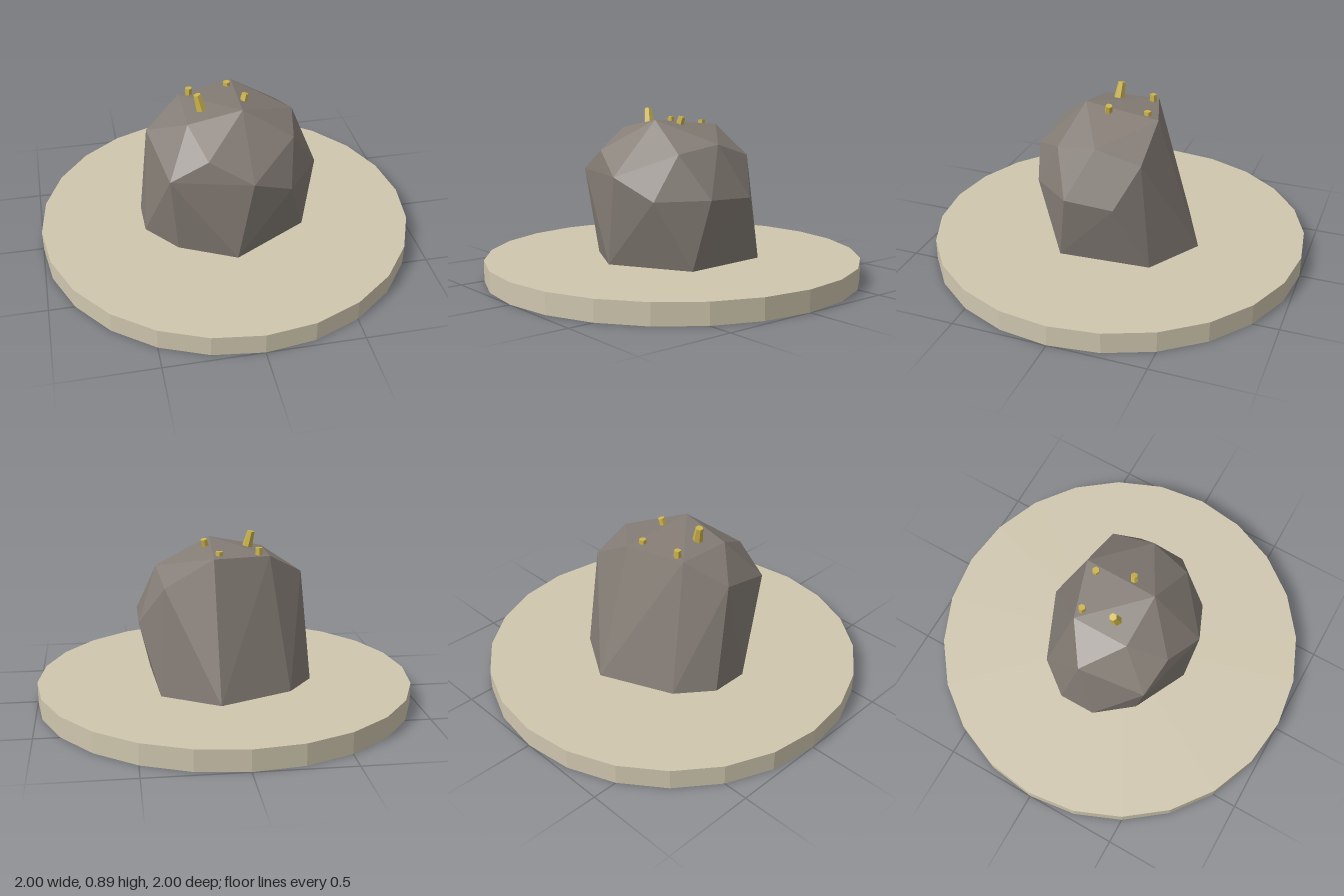
import * as THREE from 'three';
import { ConvexGeometry } from 'three/addons/geometries/ConvexGeometry.js';

const flat = (name, color) => {
  const m = new THREE.MeshStandardMaterial({ color });
  m.name = name;
  m.flatShading = true;
  return m;
};

export function createModel() {
  const sand = flat('sand', 0xcfc6ae);
  const stone = flat('stone', 0x847c75);
  const gold = flat('gold', 0xccb44c);
  const group = new THREE.Group();
  group.name = 'rockOnBase';

  const add = (name, geometry, material) => {
    const mesh = new THREE.Mesh(geometry, material);
    mesh.name = name;
    group.add(mesh);
    return mesh;
  };

  // round base
  const baseTop = 0.11;
  add('base', new THREE.CylinderGeometry(1, 1, baseTop, 24), sand).position.y = baseTop / 2;

  // faceted boulder: foot ring, shoulder ring and crown wrapped in a hull
  const foot = [
    [0.07, -0.465], [0.36, -0.29], [0.39, 0.19], [-0.01, 0.415],
    [-0.3, 0.27], [-0.45, 0.08], [-0.45, -0.12], [-0.31, -0.3],
  ].map(([x, z]) => [x, baseTop, z]);
  const shoulder = [
    [0.46, 0.47, 0.13], [0.46, 0.46, -0.13], [0.28, 0.46, 0.35],
    [0.065, 0.57, 0.435], [-0.34, 0.57, 0.33],
  ];
  const crown = [
    [-0.15, 0.685, 0.36], [-0.41, 0.68, -0.01], [0.315, 0.69, 0.22],
    [0.36, 0.73, 0], [0.33, 0.66, -0.23], [-0.22, 0.79, 0.16],
    [-0.22, 0.795, -0.14], [0.08, 0.805, -0.235], [0.06, 0.845, 0.165],
  ];
  const points = [...foot, ...shoulder, ...crown].map((p) => new THREE.Vector3(...p));
  add('boulder', new ConvexGeometry(points), stone);

  // small tapered spikes, each from a buried foot to its tip
  const spikes = [
    [[-0.127, 0.79, 0.056], [-0.15, 0.89, 0.045], 0.03, 0.02],
    [[0.088, 0.79, 0.033], [0.105, 0.857, 0.022], 0.023, 0.018],
    [[-0.165, 0.77, -0.125], [-0.165, 0.837, -0.125], 0.022, 0.018],
    [[0.045, 0.77, -0.165], [0.045, 0.83, -0.165], 0.023, 0.019],
  ];
  const up = new THREE.Vector3(0, 1, 0);
  spikes.forEach(([from, to, r0, r1], i) => {
    const a = new THREE.Vector3(...from);
    const b = new THREE.Vector3(...to);
    const dir = b.clone().sub(a);
    const spike = add(`spike${i + 1}`, new THREE.CylinderGeometry(r1, r0, dir.length(), 6), gold);
    spike.position.copy(a).add(b).multiplyScalar(0.5);
    spike.quaternion.setFromUnitVectors(up, dir.normalize());
  });

  return group;
}
